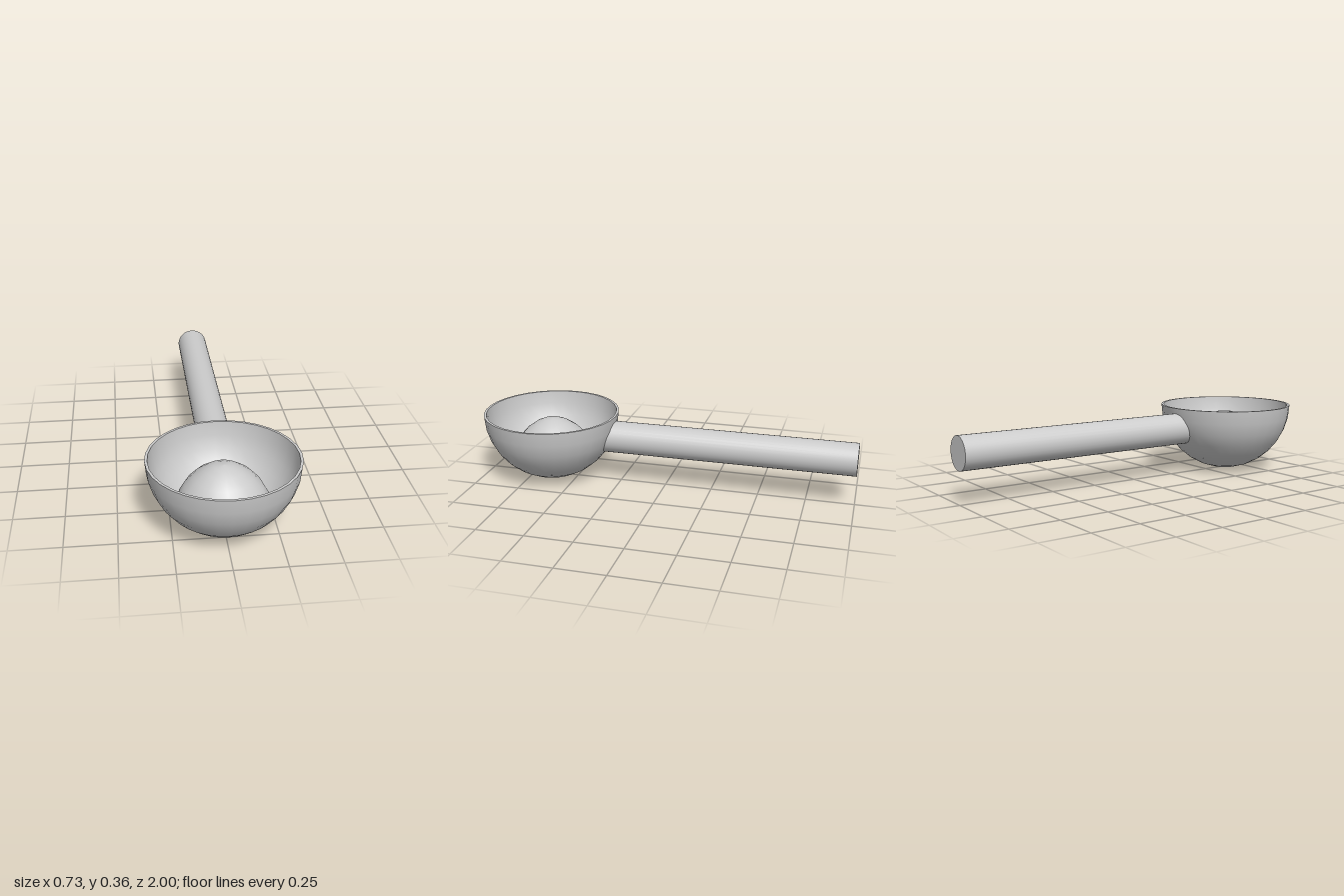
import * as THREE from 'three';

const material = new THREE.MeshStandardMaterial({ color: 0xcccccc });
const RIM_Y = 0.365, BOWL_Z = 0.637, OUTER = 0.363, INNER = 0.35;

function lathe(name, points, segments = 32) {
  const profile = points.map(([r, y]) => new THREE.Vector2(r, y));
  const mesh = new THREE.Mesh(new THREE.LatheGeometry(profile, segments), material);
  mesh.name = name;
  mesh.position.z = BOWL_Z;
  return mesh;
}

// Quarter circle from the bottom pole up to the rim
function quarterArc(radius, steps = 8) {
  return Array.from({ length: steps + 1 }, (_, i) => {
    const a = (i / steps) * Math.PI / 2;
    return [radius * Math.sin(a), RIM_Y - radius * Math.cos(a)];
  });
}

export function createModel() {
  const model = new THREE.Group();
  model.name = 'scoop';

  // Hollow bowl: outer wall, flat rim, inner wall
  const bowl = new THREE.Group();
  bowl.name = 'bowl';
  bowl.add(
    lathe('bowlOuter', quarterArc(OUTER)),
    lathe('bowlRim', [[OUTER, RIM_Y], [INNER, RIM_Y]]),
    lathe('bowlInner', quarterArc(INNER).reverse()),
  );
  model.add(bowl);

  // Rounded heap lying in the bottom of the bowl
  model.add(lathe('mound', [
    [0.222, 0.08], [0.224, 0.11], [0.213, 0.165], [0.185, 0.215],
    [0.14, 0.265], [0.09, 0.3], [0.045, 0.32], [0, 0.326],
  ], 20));

  // Round handle, its front end shaped to stop within the bowl wall
  const radius = 0.085, handleY = 0.25, wall = (OUTER + INNER) / 2;
  const rod = new THREE.CylinderGeometry(radius, radius, 1.3, 32);
  rod.rotateX(Math.PI / 2);
  const p = rod.attributes.position;
  for (let i = 0; i < p.count; i++) {
    const x = p.getX(i), y = p.getY(i) + handleY;
    const reach = Math.sqrt(wall ** 2 - x ** 2 - (y - RIM_Y) ** 2);
    p.setXYZ(i, x, y, p.getZ(i) > 0 ? BOWL_Z - reach : -1);
  }
  const handle = new THREE.Mesh(rod, material);
  handle.name = 'handle';
  model.add(handle);

  return model;
}
